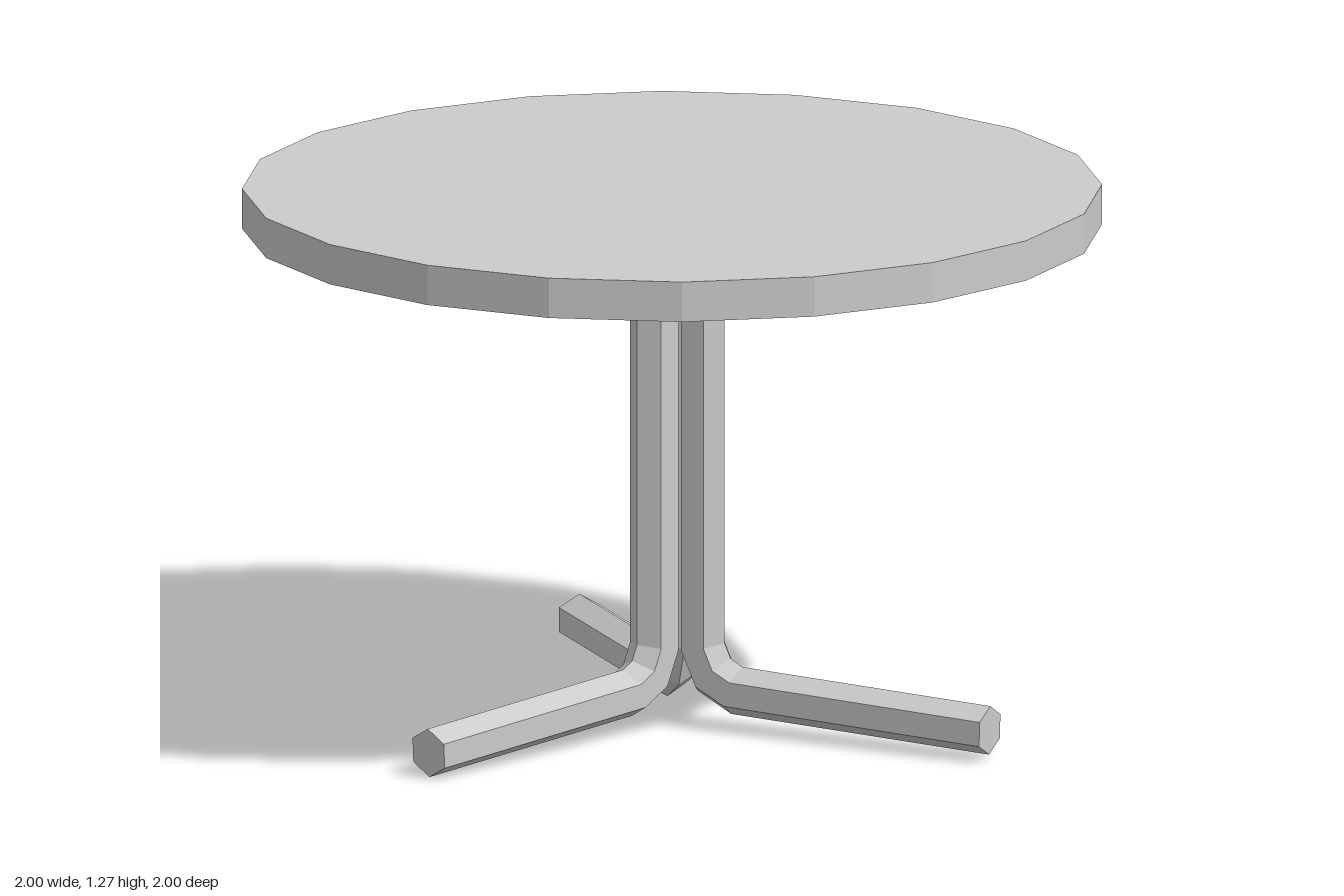
import * as THREE from 'three';

const SIDES = 6, RADIUS = 0.058;
const material = new THREE.MeshStandardMaterial({ color: 0xcccccc, flatShading: true });

// Hexagonal bar swept along a path in the local xy plane, mitred at each bend
function bentBar(path) {
  const positions = [], index = [];
  const last = path.length - 1;
  path.forEach((p, i) => {
    const into = path[Math.max(i, 1)].clone().sub(path[Math.max(i, 1) - 1]).normalize();
    const k = Math.min(i, last - 1);
    const out = path[k + 1].clone().sub(path[k]).normalize();
    const t = into.clone().add(out).normalize();
    const stretch = RADIUS / t.dot(out);
    for (let j = 0; j < SIDES; j++) {
      const a = (j / SIDES) * Math.PI * 2;
      const n = Math.cos(a) * stretch;
      positions.push(p.x - t.y * n, p.y + t.x * n, Math.sin(a) * RADIUS);
    }
  });
  for (let i = 0; i < last; i++) {
    for (let j = 0; j < SIDES; j++) {
      const a = i * SIDES + j, b = i * SIDES + (j + 1) % SIDES;
      index.push(a, b, a + SIDES, b, b + SIDES, a + SIDES);
    }
  }
  // End caps
  const e = last * SIDES;
  for (let j = 1; j < SIDES - 1; j++) index.push(0, j + 1, j, e, e + j, e + j + 1);
  const geometry = new THREE.BufferGeometry();
  geometry.setAttribute('position', new THREE.Float32BufferAttribute(positions, 3));
  geometry.setIndex(index);
  geometry.computeVertexNormals();
  return geometry;
}

export function createModel() {
  const group = new THREE.Group();

  // Round top with 20 sides
  const top = new THREE.Mesh(new THREE.CylinderGeometry(1, 1, 0.095, 20), material);
  top.name = 'tableTop';
  top.position.y = 1.2225;
  group.add(top);

  // Three bent legs: upright position, direction of the foot, height of its end
  const legs = [
    { name: 'leftLeg', x: 0.07, z: 0.07, angle: 30, endY: 0.072 },
    { name: 'rightLeg', x: -0.043, z: 0.07, angle: 135, endY: 0.061 },
    { name: 'backLeg', x: 0.012, z: -0.01, angle: 254, endY: 0.073 },
  ];
  for (const { name, x, z, angle, endY } of legs) {
    const path = [[0, 1.18], [0, 0.19], [0.03, 0.125], [0.09, 0.094], [0.76, endY]]
      .map(([px, py]) => new THREE.Vector2(px, py));
    const leg = new THREE.Mesh(bentBar(path), material);
    leg.name = name;
    leg.position.set(x, 0, z);
    leg.rotation.y = -THREE.MathUtils.degToRad(angle);
    group.add(leg);
  }
  return group;
}
